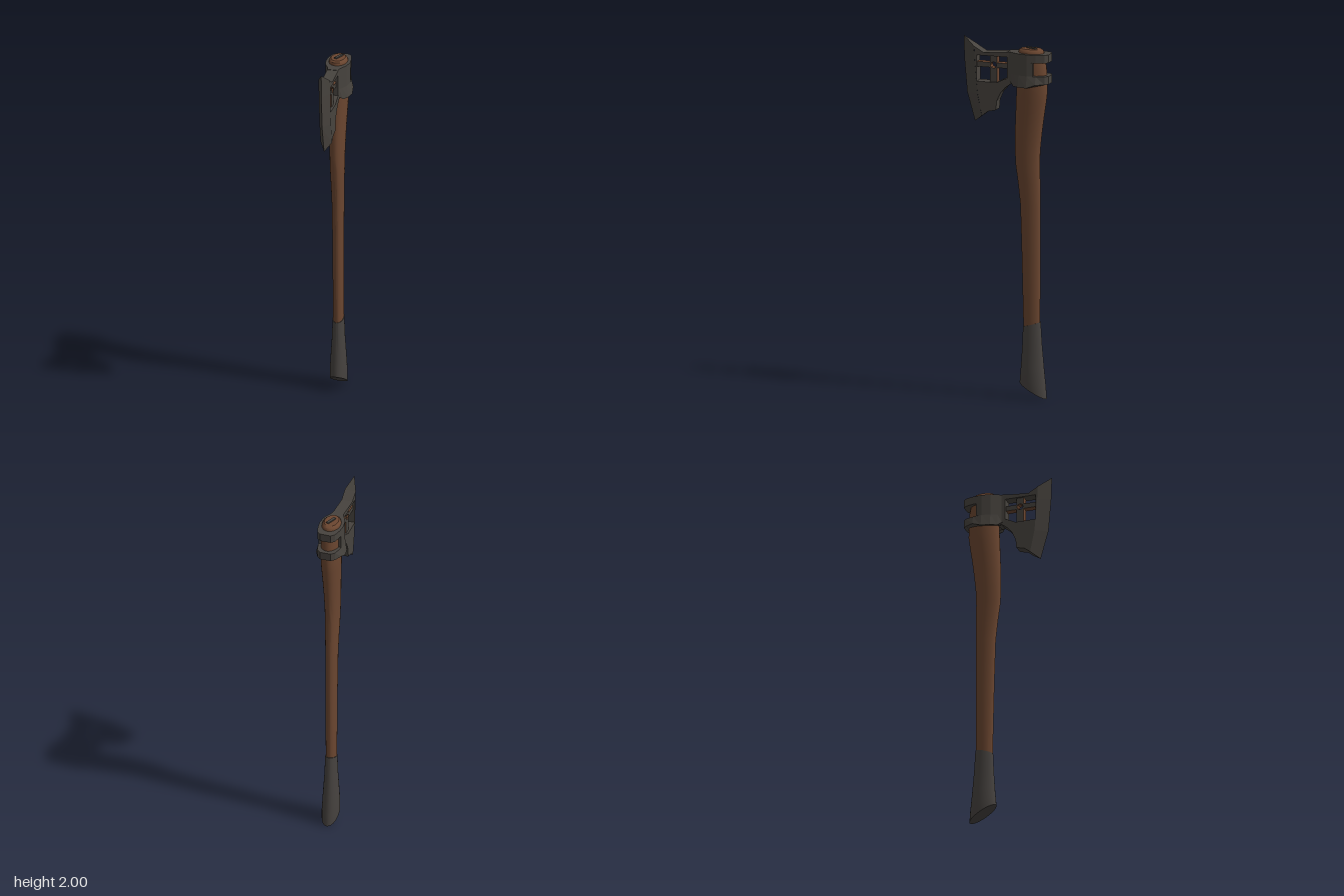
import * as THREE from 'three';
import { toCreasedNormals } from 'three/addons/utils/BufferGeometryUtils.js';

const material = (name, color) => {
  const m = new THREE.MeshStandardMaterial({ color });
  m.name = name;
  return m;
};

// Oval rings joined from bottom to top: [y, zFront, zBack, halfWidth, slope]
function loft(sections, sides = 24) {
  const pos = [], index = [];
  for (const [y, zf, zb, hw, slope = 0] of sections) {
    const cz = (zf + zb) / 2, rz = (zf - zb) / 2;
    for (let a = 0; a < sides; a++) {
      const t = (a / sides) * Math.PI * 2, dz = rz * Math.sin(t);
      pos.push(hw * Math.cos(t), y + slope * dz, cz + dz);
    }
  }
  const n = sections.length, centre = n * sides;
  for (const s of [sections[0], sections[n - 1]]) pos.push(0, s[0], (s[1] + s[2]) / 2);
  for (let a = 0; a < sides; a++) {
    const b = (a + 1) % sides, top = (n - 1) * sides;
    for (let i = 0; i < n - 1; i++) {
      const p = i * sides, q = p + sides;
      index.push(p + a, q + a, q + b, p + a, q + b, p + b);
    }
    index.push(centre, a, b, centre + 1, top + b, top + a);
  }
  const g = new THREE.BufferGeometry();
  g.setAttribute('position', new THREE.Float32BufferAttribute(pos, 3));
  g.setIndex(index);
  return toCreasedNormals(g, 0.6);
}

const path = (pts, Type = THREE.Shape) => new Type(pts.map(([a, b]) => new THREE.Vector2(a, b)));

// Side outline in (z, y), given thickness across x
function sidePlate(outline, holes, half) {
  const shape = path(outline);
  shape.holes = holes.map((h) => path(h, THREE.Path));
  return new THREE.ExtrudeGeometry(shape, { depth: 2 * half, bevelEnabled: false })
    .rotateY(-Math.PI / 2).translate(half, 0, 0);
}

// Plan outline of one half in (x, z), mirrored and raised from y0 to y1
function collarBand(half, y0, y1) {
  const pts = [...half, ...half.slice().reverse().map(([x, z]) => [-x, z])];
  return new THREE.ExtrudeGeometry(path(pts.map(([x, z]) => [x, -z])), { depth: y1 - y0, bevelEnabled: false })
    .rotateX(-Math.PI / 2).translate(0, y0, 0);
}

// Sharpened wedge between the cutting edge and the line where the bevel starts
function bevelWedge(edge, inner, half) {
  const pos = [];
  const E = (i) => [0, edge[i][1], edge[i][0]];
  const L = (i, s = 1) => [s * half, inner[i][1], inner[i][0]];
  const tri = (...p) => pos.push(...p.flat());
  const last = edge.length - 1;
  for (let i = 0; i < last; i++) {
    const j = i + 1;
    tri(E(i), E(j), L(j)); tri(E(i), L(j), L(i));
    tri(E(i), L(j, -1), E(j)); tri(E(i), L(i, -1), L(j, -1));
  }
  tri(E(0), L(0), L(0, -1));
  tri(E(last), L(last, -1), L(last));
  const g = new THREE.BufferGeometry();
  g.setAttribute('position', new THREE.Float32BufferAttribute(pos, 3));
  g.computeVertexNormals();
  return g;
}

export function createModel() {
  const model = new THREE.Group();
  model.name = 'axe';
  const wood = material('brown wood', 0x6b4630);
  const steel = material('dark steel', 0x47433e);
  const leather = material('dark grip', 0x46423f);
  const add = (name, geometry, mat, parent = model) => {
    const mesh = new THREE.Mesh(geometry, mat);
    mesh.name = name;
    parent.add(mesh);
    return mesh;
  };

  // Curved wooden shaft with a domed end above the head
  add('shaft', loft([
    [0.38, -0.095, -0.188, 0.028], [0.6, -0.09, -0.19, 0.029], [0.85, -0.084, -0.191, 0.03],
    [1.08, -0.077, -0.191, 0.032], [1.2, -0.064, -0.19, 0.035], [1.3, -0.05, -0.188, 0.038],
    [1.38, -0.046, -0.19, 0.04], [1.48, -0.046, -0.2, 0.043], [1.58, -0.05, -0.213, 0.047],
    [1.66, -0.053, -0.225, 0.051], [1.71, -0.055, -0.231, 0.053], [1.77, -0.056, -0.23, 0.053],
    [1.85, -0.06, -0.226, 0.053], [1.9, -0.065, -0.216, 0.052], [1.935, -0.068, -0.211, 0.051],
    [1.945, -0.071, -0.207, 0.047], [1.953, -0.082, -0.195, 0.038],
  ]), wood);

  // Flared grip with slanted ends
  add('grip', loft([
    [0.045, -0.073, -0.227, 0.046, 0.56], [0.1, -0.077, -0.222, 0.047, 0.45],
    [0.18, -0.082, -0.212, 0.043, 0.2], [0.3, -0.088, -0.2, 0.035, -0.1],
    [0.415, -0.092, -0.193, 0.031, -0.3],
  ]), leather);

  // Wedge driven into the shaft end
  const wedge = add('shaftWedge', new THREE.BoxGeometry(0.016, 0.009, 0.064), steel);
  wedge.position.set(0.002, 1.955, -0.142);
  wedge.rotation.y = -0.4;

  // Collar: two full bands, open at the back between them
  const head = new THREE.Group();
  head.name = 'axeHead';
  model.add(head);
  const front = [[0.03, -0.01], [0.032, -0.03], [0.042, -0.05], [0.06, -0.085], [0.068, -0.135]];
  const full = [...front, [0.063, -0.185], [0.05, -0.232], [0.03, -0.249]];
  add('upperCollar', collarBand(full, 1.885, 1.93), steel, head);
  add('middleCollar', collarBand([...front, [0.065, -0.168]], 1.81, 1.885), steel, head);
  const lower = collarBand(full, 1.765, 1.81);
  const p = lower.attributes.position;
  for (let i = 0; i < p.count; i++) {
    const z = p.getZ(i);
    if (p.getY(i) < 1.79 && z < -0.04) {
      p.setX(i, p.getX(i) * (z > -0.23 ? 1.16 : 1));
      if (z > -0.15) p.setY(i, 1.745);
    }
  }
  lower.computeVertexNormals();
  add('lowerCollar', lower, steel, head);

  // Blade plate with a large window
  const edge = [[0.25, 2], [0.246, 1.87], [0.23, 1.685], [0.185, 1.525]];
  const bevel = [[0.18, 1.948], [0.176, 1.87], [0.16, 1.685], [0.135, 1.563]];
  const window = [[-0.02, 1.9], [-0.02, 1.785], [0.015, 1.772], [0.05, 1.754], [0.165, 1.754], [0.167, 1.9]];
  add('blade', sidePlate([
    [-0.05, 1.93], [-0.03, 1.93], [0.04, 1.923], [0.125, 1.916], ...bevel,
    [0.1, 1.59], [0.055, 1.6], [0.05, 1.65], [0.03, 1.695], [0, 1.73], [-0.03, 1.752], [-0.05, 1.752],
  ], [window], 0.031), steel, head);
  add('cuttingEdge', bevelWedge(edge, bevel, 0.032), steel, head);

  // Cross bars in the window, with a pierced hub
  const [cz, cy, w, h, r] = [0.072, 1.848, 0.021, 0.014, 0.018];
  const hole = Array.from({ length: 8 }, (_, i) => [
    cz + r * Math.cos((i * Math.PI) / 4), cy + r * Math.sin((i * Math.PI) / 4)]);
  add('crossBars', sidePlate([
    [cz - w, 1.91], [cz - w, cy + h], [-0.03, cy + h], [-0.03, cy - h], [cz - w, cy - h], [cz - w, 1.745],
    [cz + w, 1.745], [cz + w, cy - h], [0.17, cy - h], [0.17, cy + h], [cz + w, cy + h], [cz + w, 1.91],
  ], [hole], 0.02), [steel, wood], head);

  return model;
}
